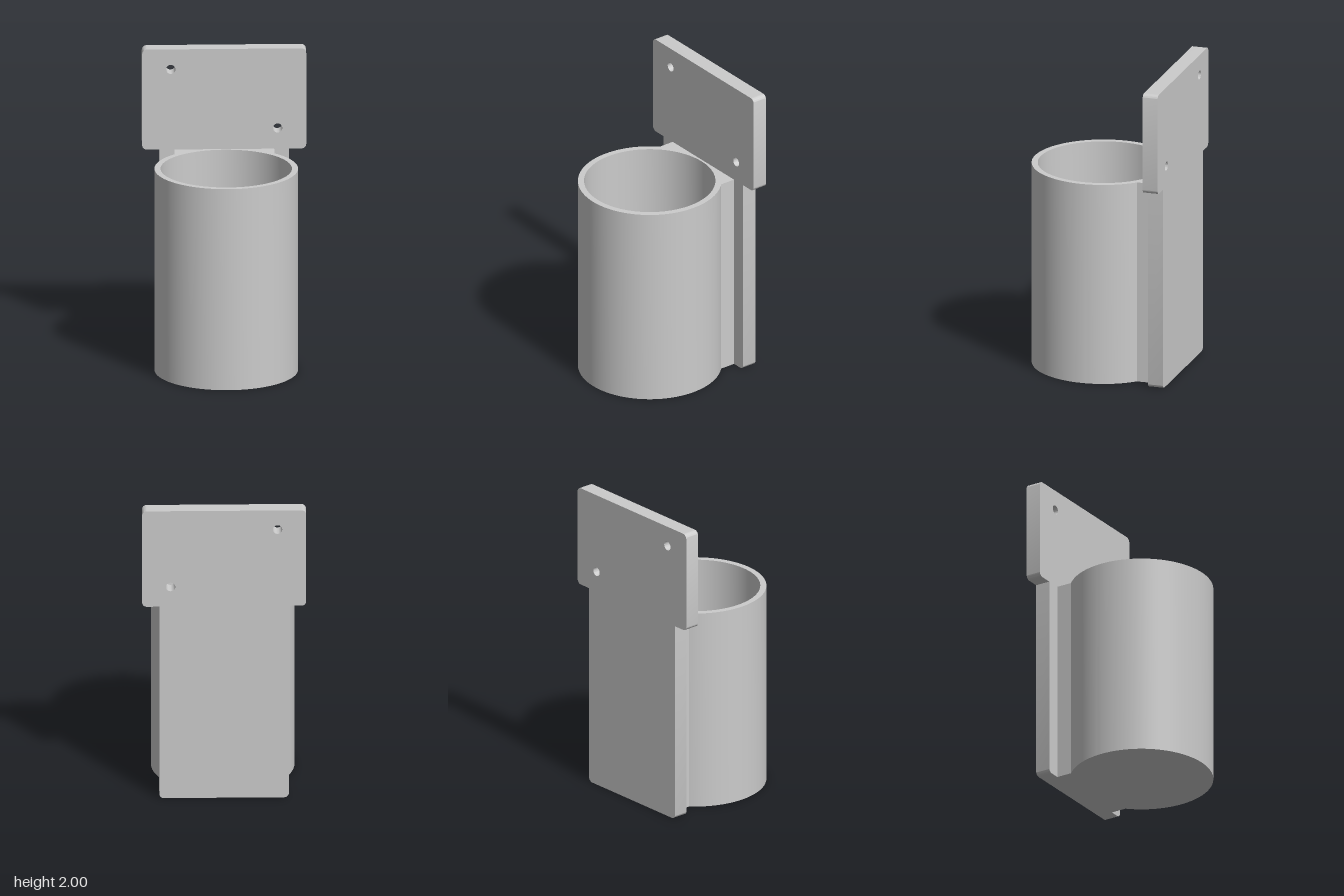
import * as THREE from 'three';
import { toCreasedNormals } from 'three/addons/utils/BufferGeometryUtils.js';

const material = new THREE.MeshStandardMaterial({ color: 0xcccccc });

const CUP_Z = 0.035, OUTER_R = 0.457, INNER_R = 0.418, CUP_H = 1.335, FLOOR_H = 0.04;
const PLATE_BACK = -0.497, PLATE_FRONT = -0.397, NECK_HALF = 0.318;

function extrude(shape, depth, curveSegments) {
  const geometry = new THREE.ExtrudeGeometry(shape, { depth, bevelEnabled: false, curveSegments });
  return toCreasedNormals(geometry, 0.5);
}

function addMesh(group, name, geometry) {
  const mesh = new THREE.Mesh(geometry, material);
  mesh.name = name;
  group.add(mesh);
  return mesh;
}

function circleHole(x, y, r) {
  return new THREE.Path().absarc(x, y, r, 0, Math.PI * 2, true);
}

// Cup wall and the neck joining it to the plate, seen from above
function cupShape() {
  const a = Math.acos(NECK_HALF / OUTER_R);
  const shape = new THREE.Shape();
  shape.moveTo(NECK_HALF, -PLATE_FRONT);
  shape.lineTo(-NECK_HALF, -PLATE_FRONT);
  shape.absarc(0, -CUP_Z, OUTER_R, Math.PI - a, Math.PI * 2 + a, false);
  shape.closePath();
  shape.holes.push(circleHole(0, -CUP_Z, INNER_R));
  return shape;
}

// T-shaped back plate with rounded outer corners and two screw holes
function plateShape() {
  const wide = 0.522, narrow = 0.412, top = 2, r = 0.03, q = Math.PI / 2;
  const shape = new THREE.Shape();
  shape.moveTo(-narrow + r, 0);
  shape.absarc(narrow - r, r, r, -q, 0, false);
  shape.lineTo(narrow, CUP_H);
  shape.absarc(wide - r, CUP_H + r, r, -q, 0, false);
  shape.absarc(wide - r, top - r, r, 0, q, false);
  shape.absarc(-wide + r, top - r, r, q, 2 * q, false);
  shape.absarc(-wide + r, CUP_H + r, r, 2 * q, 3 * q, false);
  shape.lineTo(-narrow, CUP_H);
  shape.absarc(-narrow + r, r, r, 2 * q, 3 * q, false);
  shape.holes.push(circleHole(-0.34, 1.867, 0.03), circleHole(0.34, 1.472, 0.03));
  return shape;
}

export function createModel() {
  const group = new THREE.Group();
  group.name = 'wallMountedCup';

  const wall = addMesh(group, 'cupWallAndNeck', extrude(cupShape(), CUP_H, 64));
  wall.rotation.x = -Math.PI / 2;

  const floor = addMesh(group, 'cupFloor', new THREE.CylinderGeometry(INNER_R, INNER_R, FLOOR_H, 128));
  floor.position.set(0, FLOOR_H / 2, CUP_Z);

  const plate = addMesh(group, 'backPlate', extrude(plateShape(), PLATE_FRONT - PLATE_BACK, 16));
  plate.position.z = PLATE_BACK;

  return group;
}
